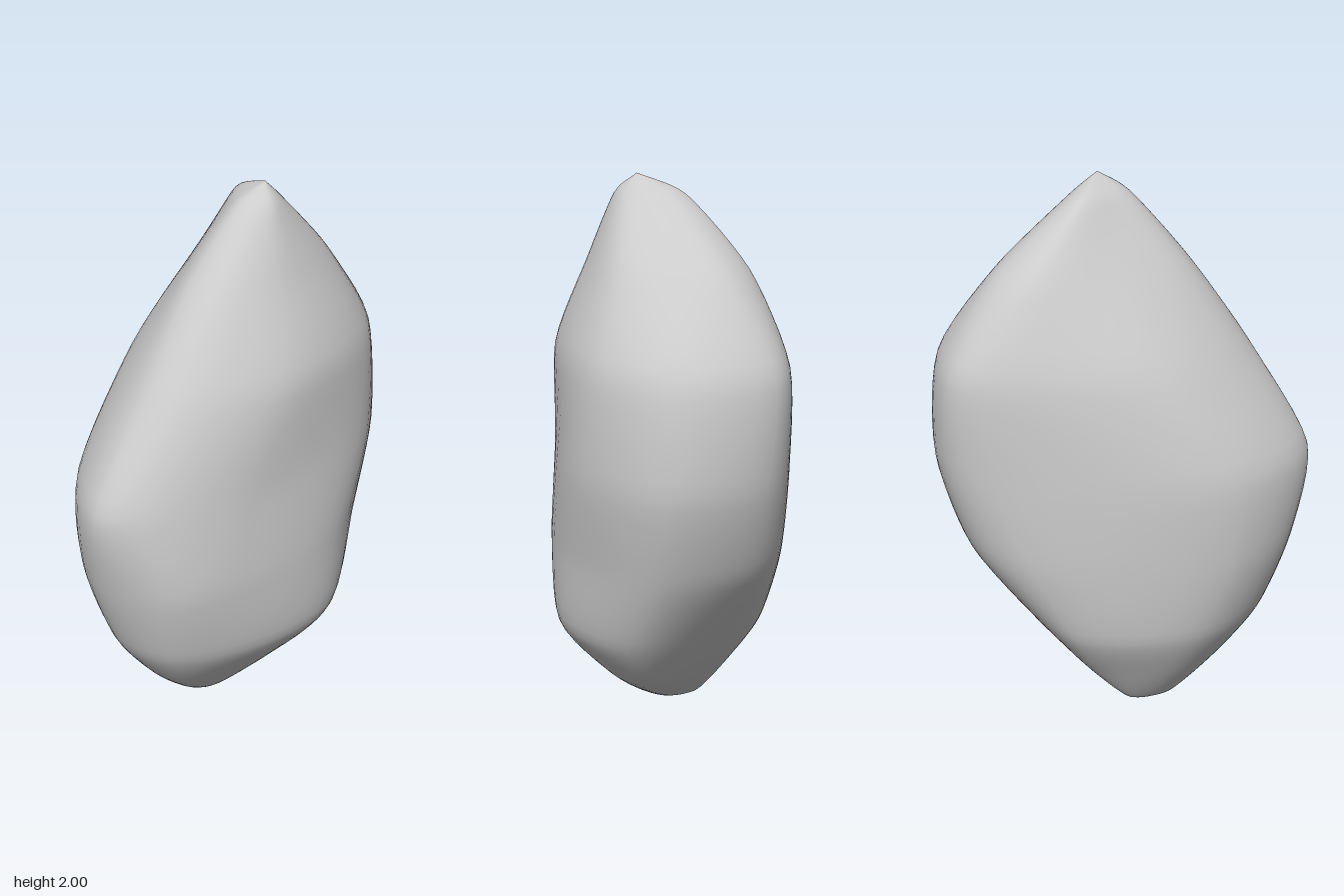
import * as THREE from 'three';

// Horizontal cross-sections of the boulder: height, then eight x,z corners
// running left, front, right, back.
const SECTIONS = [
  [0.03, -0.22, 0, -0.19, 0.09, -0.12, 0.12, -0.05, 0.1, -0.01, 0.02, -0.03, -0.05, -0.08, -0.1, -0.16, -0.07],
  [0.2, -0.38, 0.06, -0.33, 0.22, -0.14, 0.27, 0.12, 0.23, 0.27, 0.07, 0.13, -0.12, 0, -0.22, -0.26, -0.14],
  [0.4, -0.52, 0.12, -0.43, 0.32, -0.13, 0.41, 0.24, 0.35, 0.43, 0.07, 0.23, -0.24, 0.05, -0.34, -0.37, -0.18],
  [0.7, -0.62, 0.15, -0.48, 0.38, -0.18, 0.44, 0.28, 0.35, 0.56, 0, 0.42, -0.33, 0.18, -0.41, -0.47, -0.16],
  [1.03, -0.65, 0.21, -0.54, 0.34, -0.15, 0.42, 0.41, 0.29, 0.645, -0.05, 0.51, -0.37, 0.3, -0.435, -0.46, -0.17],
  [1.4, -0.43, 0.16, -0.36, 0.3, 0.02, 0.4, 0.46, 0.22, 0.61, -0.08, 0.48, -0.39, 0.32, -0.43, -0.23, -0.2],
  [1.7, -0.22, 0.11, -0.17, 0.23, 0.06, 0.28, 0.34, 0.15, 0.4, -0.06, 0.36, -0.23, 0.22, -0.29, -0.05, -0.12],
  [1.93, -0.02, 0.1, 0.01, 0.155, 0.08, 0.18, 0.15, 0.14, 0.18, 0.05, 0.16, -0.04, 0.11, -0.07, 0.02, 0.02],
];
const BOTTOM = new THREE.Vector3(-0.12, 0, 0.01);
const PEAK = new THREE.Vector3(0.1, 2, 0.1);
const CORNERS = 8, AROUND = 64, UP = 54;

function boulderGeometry() {
  // Taut curves climbing from the base to the peak through matching corners
  const ribs = [];
  for (let c = 0; c < CORNERS; c++) {
    const pts = SECTIONS.map((s) => new THREE.Vector3(s[1 + 2 * c], s[0], s[2 + 2 * c]));
    ribs.push(new THREE.CatmullRomCurve3([BOTTOM, ...pts, PEAK], false, 'catmullrom', 0.36));
  }

  // Smooth closed loop at each level, with one shared vertex at each end
  const pos = [...BOTTOM.toArray()];
  for (let j = 1; j < UP; j++) {
    const ring = new THREE.CatmullRomCurve3(ribs.map((r) => r.getPoint(j / UP)), true);
    for (let i = 0; i < AROUND; i++) {
      const p = ring.getPoint(i / AROUND);
      pos.push(p.x, THREE.MathUtils.clamp(p.y, 0, 2), p.z);
    }
  }
  pos.push(...PEAK.toArray());

  const at = (j, i) => 1 + (j - 1) * AROUND + (i % AROUND);
  const last = pos.length / 3 - 1;
  const index = [];
  for (let i = 0; i < AROUND; i++) {
    index.push(0, at(1, i + 1), at(1, i));
    for (let j = 1; j < UP - 1; j++) {
      const a = at(j, i), b = at(j, i + 1), c = at(j + 1, i + 1), d = at(j + 1, i);
      index.push(a, b, c, a, c, d);
    }
    index.push(at(UP - 1, i), at(UP - 1, i + 1), last);
  }

  const geo = new THREE.BufferGeometry();
  geo.setAttribute('position', new THREE.Float32BufferAttribute(pos, 3));
  geo.setIndex(index);
  geo.computeVertexNormals();
  return geo;
}

export function createModel() {
  const group = new THREE.Group();
  group.name = 'rock';
  const boulder = new THREE.Mesh(boulderGeometry(), new THREE.MeshStandardMaterial({ color: 0xcccccc }));
  boulder.name = 'boulder';
  group.add(boulder);
  return group;
}
